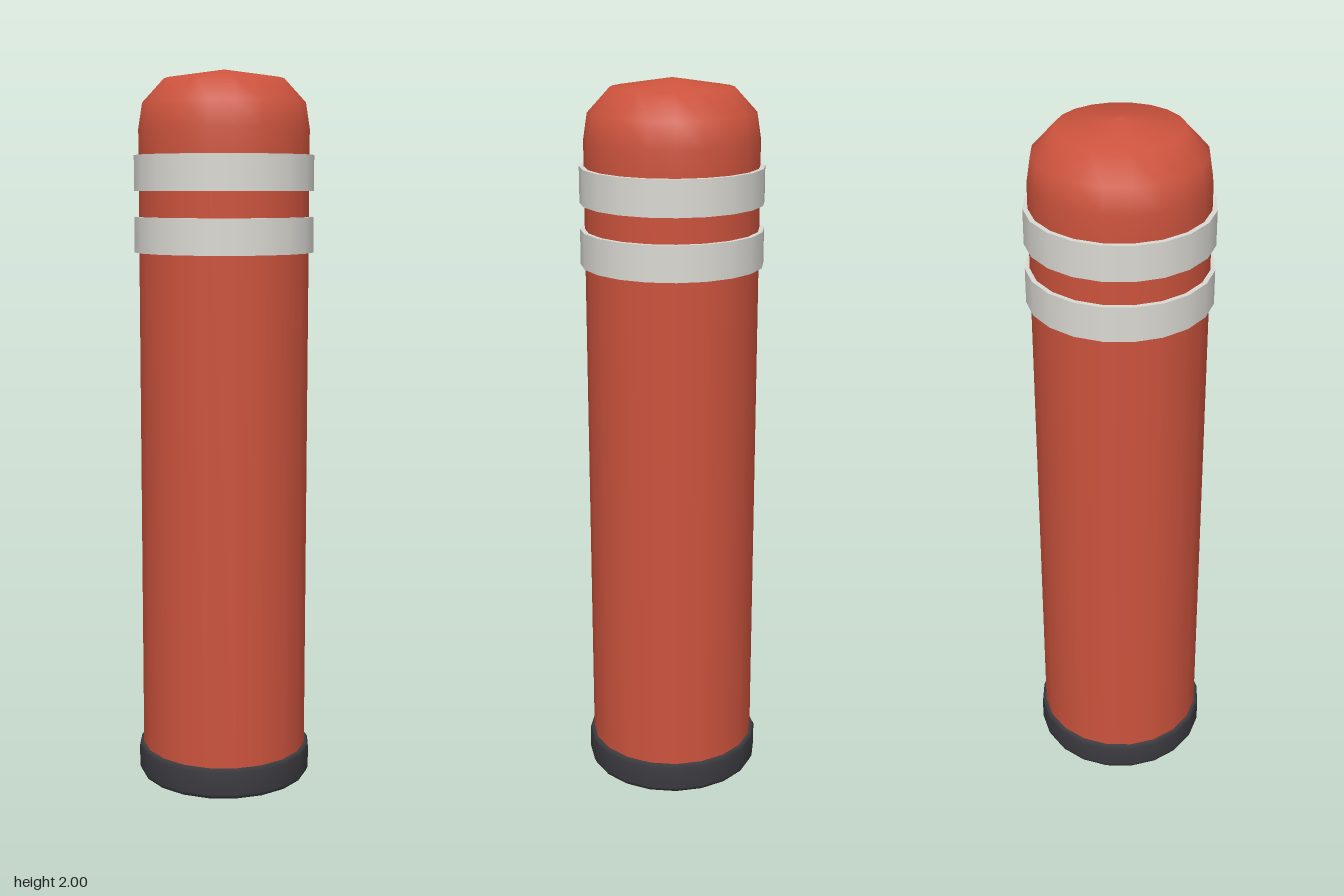
import * as THREE from 'three';

const SIDES = 20;

export function createModel() {
  const group = new THREE.Group();
  const material = (name, color) => new THREE.MeshStandardMaterial({ name, color });
  const red = material('red paint', 0xcc533d);
  const white = material('reflective white', 0xdad9d3);
  const black = material('black rubber', 0x3b3b40);

  const add = (name, geometry, mat, y = 0) => {
    const mesh = new THREE.Mesh(geometry, mat);
    mesh.name = name;
    mesh.position.y = y;
    group.add(mesh);
  };
  const lathe = (points) =>
    new THREE.LatheGeometry(points.map(([r, y]) => new THREE.Vector2(r, y)), SIDES);

  // Post with its rounded top
  add('post', lathe([
    [0.236, 0.05], [0.236, 1.77], [0.236, 1.84],
    [0.225, 1.91], [0.165, 1.975], [0, 2],
  ]), red);

  // Foot with slightly bevelled rims and a closed underside
  add('foot', lathe([
    [0, 0], [0.235, 0], [0.242, 0.002], [0.248, 0.015],
    [0.248, 0.078], [0.242, 0.088], [0.2, 0.088],
  ]), black);

  // Two reflective bands
  [['lowerBand', 1.555], ['upperBand', 1.722]].forEach(([name, y]) =>
    add(name, new THREE.CylinderGeometry(0.249, 0.249, 0.097, SIDES), white, y));

  return group;
}
